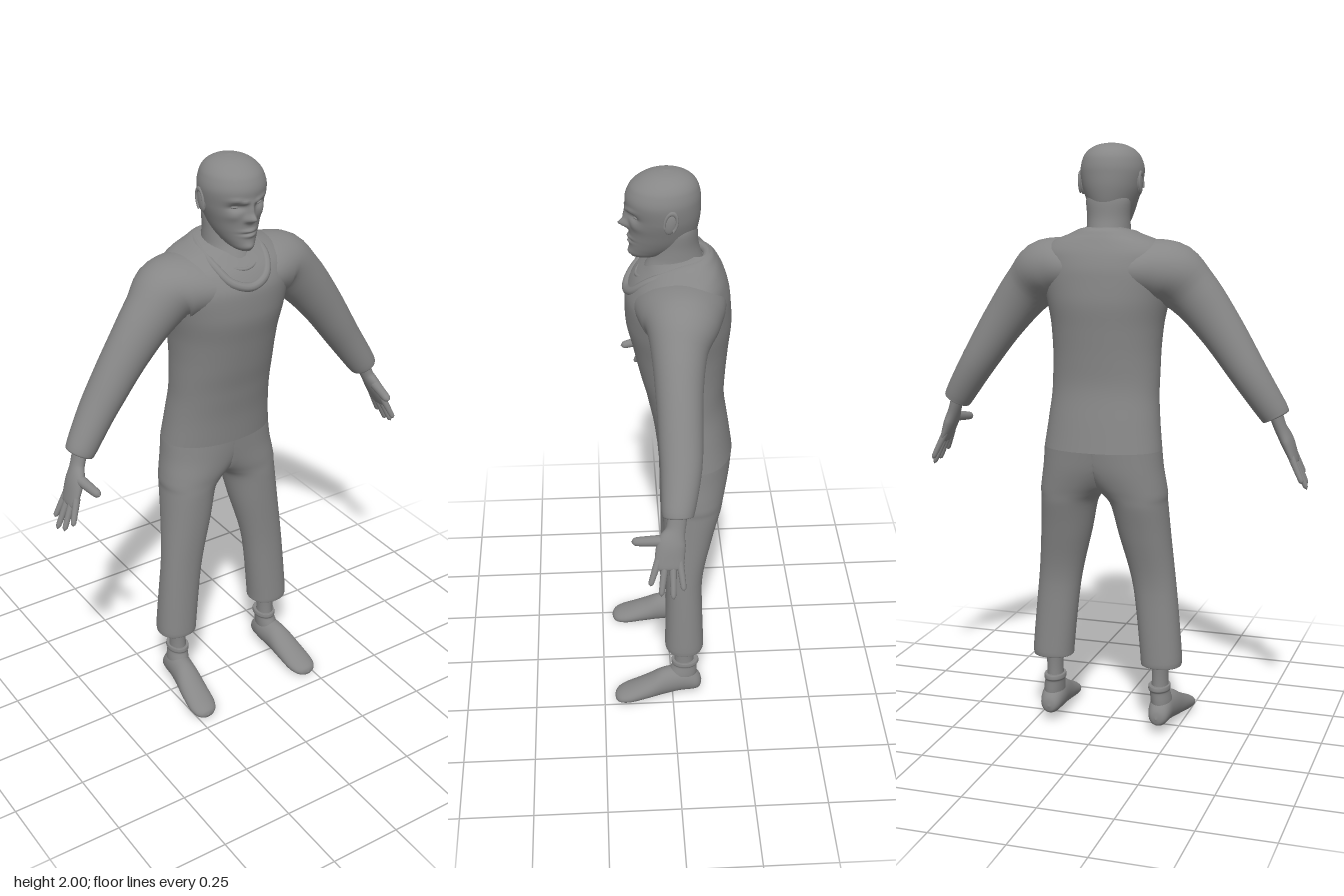
import * as THREE from 'three';

const MAT = new THREE.MeshStandardMaterial({ color: 0x878787, side: THREE.DoubleSide });

// Smooth interpolation through the rows of a table, without overshoot
function sampleRows(rows, steps) {
  const last = rows.length - 1;
  const slope = (i, k) => {
    const d0 = i > 0 ? rows[i][k] - rows[i - 1][k] : null;
    const d1 = i < last ? rows[i + 1][k] - rows[i][k] : null;
    if (d0 === null) return d1;
    if (d1 === null) return d0;
    return d0 * d1 > 0 ? (2 * d0 * d1) / (d0 + d1) : 0;
  };
  const out = [];
  for (let s = 0; s <= last * steps; s++) {
    const i = Math.min(Math.floor(s / steps), last - 1), t = s / steps - i;
    const t2 = t * t, t3 = t2 * t;
    out.push(rows[i].map((v, k) => v * (2 * t3 - 3 * t2 + 1) + slope(i, k) * (t3 - 2 * t2 + t)
      + rows[i + 1][k] * (3 * t2 - 2 * t3) + slope(i + 1, k) * (t3 - t2)));
  }
  return out;
}

// Skin over oval sections [x, y, z, halfAcross, halfDeep]; tilt turns them square to the path,
// half cuts the skin off at the middle plane x = 0
function loft(rows, { n = 32, steps = 5, tilt = false, half = false, power = 1, ref = new THREE.Vector3(0, 0, 1) } = {}) {
  const secs = sampleRows(rows, steps), pos = [], idx = [];
  const centre = (i) => new THREE.Vector3(...secs[Math.max(0, Math.min(secs.length - 1, i))].slice(0, 3));
  const up = Math.sign(rows[rows.length - 1][1] - rows[0][1]);
  const bend = (v) => Math.sign(v) * Math.abs(v) ** power;
  secs.forEach((s, i) => {
    const t = tilt ? centre(i + 1).sub(centre(i - 1)).normalize() : new THREE.Vector3(0, up, 0);
    const w = ref.clone().addScaledVector(t, -ref.dot(t)).normalize();
    const u = t.clone().cross(w);
    for (let j = 0; j < n; j++) {
      const a = (j / n) * Math.PI * 2;
      const p = centre(i).addScaledVector(u, s[3] * bend(Math.cos(a))).addScaledVector(w, s[4] * bend(Math.sin(a)));
      pos.push(half && p.x < 1e-6 ? 0 : p.x, p.y, p.z);
    }
  });
  const face = (...f) => {
    if (!half || f.some((v) => pos[v * 3] > 0)) idx.push(...f);
  };
  for (let i = 0; i < secs.length - 1; i++) {
    for (let j = 0; j < n; j++) {
      const A = i * n + j, B = i * n + (j + 1) % n;
      face(A, A + n, B);
      face(B, A + n, B + n);
    }
  }
  const g = new THREE.BufferGeometry();
  g.setAttribute('position', new THREE.Float32BufferAttribute(pos, 3));
  g.setIndex(idx);
  g.computeVertexNormals();
  return g;
}

// Level section from height, half width, front z, back z and centre x
const level = ([y, w, zf, zb, x = 0]) => [x, y, (zf + zb) / 2, w, (zf - zb) / 2];

function mirrored(geo) {
  const g = geo.clone().scale(-1, 1, 1), ix = g.index;
  for (let i = 0; i < ix.count; i += 3) {
    const b = ix.getX(i + 1);
    ix.setX(i + 1, ix.getX(i + 2));
    ix.setX(i + 2, b);
  }
  return g;
}

export function createModel() {
  const model = new THREE.Group();
  const add = (name, geo) => {
    const m = new THREE.Mesh(geo, MAT);
    m.name = name;
    model.add(m);
  };
  const addPair = (name, geo) => {
    add('left' + name, geo);
    add('right' + name, mirrored(geo));
  };

  // Torso, from the hips to the base of the neck
  const hips = [1.0, 0.202, 0.042, -0.21];
  add('torso', loft([
    hips, [1.1, 0.19, 0.055, -0.195], [1.2, 0.182, 0.075, -0.18],
    [1.3, 0.182, 0.1, -0.182], [1.4, 0.188, 0.122, -0.19], [1.5, 0.207, 0.143, -0.198],
    [1.58, 0.222, 0.143, -0.192], [1.64, 0.222, 0.118, -0.178], [1.68, 0.185, 0.08, -0.16],
    [1.705, 0.125, 0.05, -0.146], [1.722, 0.085, 0, -0.134], [1.73, 0.055, -0.04, -0.12],
  ].map(level), { n: 56, power: 0.93 }));

  // Trouser legs, each growing out of its half of the hips, with turned-in hems
  addPair('TrouserLeg', loft([
    hips, [0.94, 0.168, 0.037, -0.2, 0.039], [0.88, 0.131, 0.033, -0.185, 0.085],
    [0.845, 0.111, 0.03, -0.176, 0.109], [0.815, 0.097, 0.03, -0.17, 0.122],
    [0.7, 0.088, 0.028, -0.14, 0.14], [0.5, 0.074, 0.023, -0.103, 0.173], [0.26, 0.071, 0.027, -0.11, 0.196],
    [0.241, 0.069, 0.024, -0.107, 0.196], [0.243, 0.05, 0.005, -0.09, 0.196], [0.28, 0.03, -0.01, -0.07, 0.195],
  ].map(level), { n: 56, power: 0.93, half: true }));

  // Sleeves, flaring at the root into the chest and shoulder blades
  addPair('Sleeve', loft([
    [0.07, 1.592, -0.026, 0.08, 0.15], [0.14, 1.592, -0.027, 0.098, 0.14], [0.21, 1.582, -0.026, 0.104, 0.12],
    [0.285, 1.52, -0.014, 0.09, 0.086], [0.375, 1.41, -0.01, 0.075, 0.072], [0.47, 1.27, -0.01, 0.062, 0.066],
    [0.56, 1.132, 0.005, 0.05, 0.051], [0.568, 1.118, 0.006, 0.046, 0.047], [0.57, 1.114, 0.006, 0.012, 0.012],
  ], { tilt: true, n: 40 }));

  // Hands
  addPair('Palm', loft([
    [0.562, 1.14, 0.006, 0.023, 0.031], [0.58, 1.085, 0.013, 0.021, 0.03], [0.6, 1.04, 0.028, 0.022, 0.045],
    [0.618, 0.995, 0.034, 0.017, 0.046], [0.63, 0.965, 0.036, 0.011, 0.04], [0.632, 0.96, 0.036, 0.001, 0.01],
  ], { tilt: true, n: 24 }));
  const digit = (a, b, r, ref) => {
    const at = (t) => a.map((v, i) => v + (b[i] - v) * t);
    return loft([[0, r * 1.15], [0.5, r], [0.9, r * 0.8], [1, r * 0.02]].map(([t, q]) => [...at(t), q, q]),
      { tilt: true, n: 12, steps: 4, ref });
  };
  [['IndexFinger', 0.068, [0.65, 0.915, 0.096]], ['MiddleFinger', 0.046, [0.666, 0.885, 0.063]],
    ['RingFinger', 0.024, [0.672, 0.875, 0.025]], ['LittleFinger', 0.004, [0.662, 0.9, -0.008]]]
    .forEach(([name, z, tip]) => addPair(name, digit([0.617, 0.995, z], tip, 0.0105)));
  addPair('Thumb', digit([0.598, 1.052, 0.03], [0.576, 1.033, 0.15], 0.0165, new THREE.Vector3(0, 1, 0)));

  // Ankles, shoe shafts and shoes
  addPair('Ankle', loft([
    [0.13, 0.03, -0.005, -0.078, 0.192], [0.2, 0.028, -0.008, -0.076, 0.192], [0.32, 0.034, 0, -0.085, 0.194],
  ].map(level)));
  addPair('ShoeShaft', loft([
    [0.075, 0.033, 0.02, -0.086, 0.198], [0.11, 0.036, 0.014, -0.088, 0.196], [0.145, 0.034, 0, -0.088, 0.192],
    [0.155, 0.038, 0.004, -0.095, 0.191], [0.168, 0.036, 0.002, -0.092, 0.191], [0.167, 0.027, -0.01, -0.076, 0.191],
  ].map(level)));
  addPair('Shoe', loft([
    [0.195, -0.106, -0.06, 0.001, 0.001], [0.196, -0.101, -0.062, 0.02, 0.022], [0.197, -0.085, -0.068, 0.034, 0.038],
    [0.197, -0.04, -0.079, 0.042, 0.053], [0.203, 0.025, -0.072, 0.044, 0.054], [0.21, 0.09, -0.052, 0.049, 0.041],
    [0.215, 0.15, -0.034, 0.05, 0.031], [0.218, 0.19, -0.025, 0.041, 0.022], [0.219, 0.207, -0.021, 0.022, 0.013],
    [0.22, 0.212, -0.02, 0.001, 0.001],
  ]).rotateX(Math.PI / 2));

  // Neck, raised collar and inner neckline
  add('neck', loft([
    [1.6, 0.11, 0.11, -0.13], [1.67, 0.086, 0.085, -0.118], [1.72, 0.073, 0.058, -0.1],
    [1.76, 0.072, 0.045, -0.09], [1.81, 0.075, 0.035, -0.086], [1.86, 0.06, 0.02, -0.075],
  ].map(level)));
  const neckRing = (name, half, r) => {
    const back = half.slice(1, -1).reverse().map(([x, y, z]) => [-x, y, z]);
    const curve = new THREE.CatmullRomCurve3([...half, ...back].map((p) => new THREE.Vector3(...p)), true);
    add(name, new THREE.TubeGeometry(curve, 80, r, 10, true));
  };
  neckRing('collar', [[0, 1.602, 0.137], [0.062, 1.622, 0.12], [0.095, 1.668, 0.068],
    [0.094, 1.701, -0.02], [0.066, 1.712, -0.092], [0, 1.716, -0.118]], 0.0145);
  neckRing('innerNeckline', [[0, 1.652, 0.107], [0.05, 1.662, 0.086], [0.078, 1.686, 0.03],
    [0.066, 1.704, -0.05], [0, 1.71, -0.095]], 0.006);

  // Head, with the face pushed in and out: [x, y, spread x, spread y, depth]
  const head = loft([
    [1.714, 0.001, 0.08, 0.06], [1.715, 0.018, 0.113, 0.04], [1.724, 0.034, 0.122, 0.01],
    [1.745, 0.051, 0.126, -0.035], [1.775, 0.068, 0.126, -0.07], [1.81, 0.082, 0.127, -0.086],
    [1.86, 0.098, 0.131, -0.095], [1.91, 0.105, 0.138, -0.096], [1.95, 0.096, 0.125, -0.089],
    [1.98, 0.071, 0.09, -0.066], [1.995, 0.036, 0.05, -0.03], [2.0, 0.001, 0.011, 0.009],
  ].map(level), { n: 112, steps: 9 });
  const face = [
    [0, 1.828, 0.014, 0.013, 0.028], [0, 1.855, 0.011, 0.024, 0.014], [0, 1.785, 0.026, 0.006, 0.007],
    [0, 1.769, 0.022, 0.006, 0.006], [0, 1.777, 0.027, 0.003, -0.006], [0, 1.732, 0.025, 0.012, 0.006],
  ];
  for (const s of [-1, 1]) {
    face.push([s * 0.042, 1.865, 0.023, 0.01, -0.015], [s * 0.05, 1.889, 0.02, 0.007, 0.006],
      [s * 0.023, 1.882, 0.014, 0.007, 0.008], [s * 0.015, 1.824, 0.008, 0.008, 0.006],
      [s * 0.055, 1.835, 0.02, 0.014, 0.005]);
  }
  const p = head.attributes.position;
  for (let i = 0; i < p.count; i++) {
    if (p.getZ(i) < 0.04) continue;
    const push = face.reduce((sum, [x, y, sx, sy, d]) =>
      sum + d * Math.exp(-(((p.getX(i) - x) / sx) ** 2) - ((p.getY(i) - y) / sy) ** 2), 0);
    p.setZ(i, p.getZ(i) + push);
  }
  head.computeVertexNormals();
  add('head', head);

  // Eyes and ears
  addPair('Eye', new THREE.SphereGeometry(0.014, 20, 14).scale(1.2, 0.42, 1).rotateZ(0.12).translate(0.041, 1.864, 0.0985));
  addPair('Ear', new THREE.SphereGeometry(1, 20, 14).scale(0.009, 0.037, 0.02).rotateX(-0.2).translate(0.098, 1.868, 0.003));
  addPair('EarRim', new THREE.TorusGeometry(0.019, 0.0045, 8, 28, 4.6).rotateZ(-0.9).rotateY(Math.PI / 2)
    .scale(1, 1.75, 1).rotateX(-0.2).translate(0.104, 1.87, 0.002));

  return model;
}
